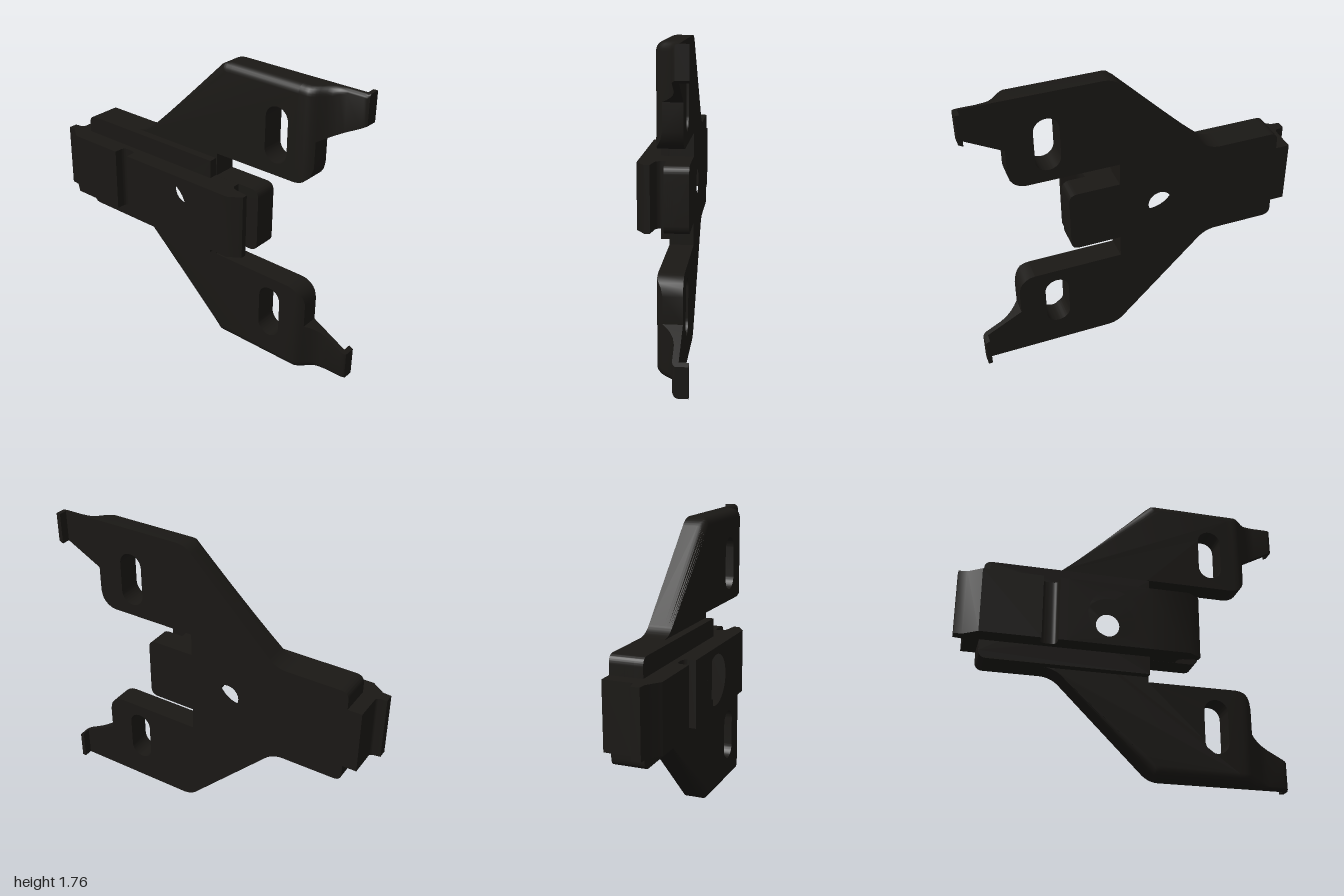
import * as THREE from 'three';
import { toCreasedNormals } from 'three/addons/utils/BufferGeometryUtils.js';

const MID = 0.88; // height of the symmetry plane
const EDGE = 0.05; // rounding of the outer arm edges
const material = new THREE.MeshStandardMaterial({ color: 0x1a1815 });

function addPart(group, name, geometry) {
  const mesh = new THREE.Mesh(toCreasedNormals(geometry, 0.6), material);
  mesh.name = name;
  group.add(mesh);
}

// Closed outline from [u, v, radius] corners
function outline(points) {
  const shape = new THREE.Shape();
  const n = points.length;
  points.forEach(([u, v, r = 0], i) => {
    const p = new THREE.Vector2(u, v);
    const toward = (q) => new THREE.Vector2(q[0], q[1]).sub(p).setLength(r).add(p);
    const a = r ? toward(points[(i + n - 1) % n]) : p;
    if (i === 0) shape.moveTo(a.x, a.y);
    else shape.lineTo(a.x, a.y);
    if (r) {
      const b = toward(points[(i + 1) % n]);
      shape.quadraticCurveTo(u, v, b.x, b.y);
    }
  });
  shape.closePath();
  return shape;
}

// Mirror half an outline of [z, height from middle, radius] about the middle
function mirrored(half) {
  const top = half.map(([z, h, r]) => [-z, MID + h, r]);
  const low = half.map(([z, h, r]) => [-z, MID - h, r]).reverse();
  return outline([...top, ...low]);
}

function circleHole(shape, z, radius) {
  shape.holes.push(new THREE.Path().absarc(-z, MID, radius, 0, Math.PI * 2, true));
}

// Extrude a side outline across the thickness, from x0 to x1
function across(shape, x0, x1, steps = 1) {
  const g = new THREE.ExtrudeGeometry(shape, { depth: x1 - x0, steps, bevelEnabled: false, curveSegments: 16 });
  return g.rotateY(Math.PI / 2).translate(x0, 0, 0);
}

// Extrude an [x, z, radius] profile vertically through the centre block
function upward(points) {
  const shape = outline(points.map(([x, z, r]) => [x, -z, r]));
  const g = new THREE.ExtrudeGeometry(shape, { depth: 0.385, bevelEnabled: false, curveSegments: 8 });
  return g.rotateX(-Math.PI / 2).translate(0, MID - 0.1925, 0);
}

// Plate with both arms, tongue, slots and screw hole
function plateGeometry() {
  const shape = mirrored([
    [0.43, 0.193, 0.05], [0.13, 0.193], [0.13, 0.33], [0.66, 0.33], [0.66, 0.88],
    [0.16, 0.88, 0.06], [-0.42, 0.3, 0.07], [-0.855, 0.3, 0.05],
  ]);
  circleHole(shape, -0.115, 0.07);
  for (const side of [-1, 1]) {
    const y = MID + side * 0.563;
    const slot = new THREE.Path();
    slot.absarc(-0.533, y + 0.09, 0.072, 0, Math.PI, false);
    slot.absarc(-0.533, y - 0.09, 0.072, Math.PI, Math.PI * 2, false);
    slot.closePath();
    shape.holes.push(slot);
  }
  const steps = 7;
  const g = across(shape, 0, 1, steps);
  const p = g.attributes.position;
  for (let i = 0; i < p.count; i++) {
    // Crowd the layers into the rounded edge, then pull the outer edges in
    const layer = Math.round(p.getX(i) * steps);
    const t = Math.min(layer / (steps - 1), 1) * Math.PI / 2;
    const x = layer === steps ? 0.12 : -0.02 + EDGE * (1 - Math.cos(t));
    const inset = layer === steps ? 0 : EDGE * (1 - Math.sin(t));
    const z = p.getZ(i);
    const h = p.getY(i) - MID;
    let reach = Math.abs(h);
    if (z > -0.37 && reach > 0.31) reach = Math.min(reach, 0.88 - inset, z + 0.72 - inset * Math.SQRT2);
    p.setXYZ(i, x, MID + Math.sign(h) * reach, z);
  }
  return g;
}

// Thinning arm end with its hooked lip, lofted along z
function tipGeometry(side) {
  const lowArc = (z) => 0.43 - Math.sqrt(Math.max(0, 0.01 - (z - 0.66) ** 2));
  const lowSlope = (z) => 0.58 + (z - 0.76) * 0.54;
  // [z, inner x, outer x]
  const stations = [
    [0.66, -0.02, 0.12], [0.69, -0.02, 0.12], [0.715, -0.02, 0.12], [0.735, -0.01, 0.12],
    [0.75, 0.003, 0.12], [0.76, 0.013, 0.12], [0.76, 0.013, 0.12], [0.785, 0.04, 0.12],
    [0.81, 0.06, 0.12], [0.84, 0.076, 0.12], [0.88, 0.086, 0.12], [0.975, 0.086, 0.12],
    [0.975, 0.086, 0.172], [0.99, 0.091, 0.172], [1.0, 0.102, 0.172],
  ];
  const rings = stations.map(([z, x0, x1], i) => {
    const low = i < 6 ? lowArc(z) : lowSlope(z);
    const r = Math.min(EDGE, (0.12 - x0) * 0.8);
    const ring = [[x1, low], [x1, 0.88]];
    for (let k = 0; k <= 6; k++) {
      const a = (k / 6) * Math.PI / 2;
      ring.push([x0 + r - r * Math.sin(a), 0.88 - r + r * Math.cos(a)]);
    }
    ring.push([x0, low]);
    return ring.map(([x, h]) => [x, MID + side * h, z]);
  });
  const n = rings[0].length;
  const positions = rings.flat(2);
  const index = [];
  const tri = (a, b, c) => (side > 0 ? index.push(a, b, c) : index.push(a, c, b));
  for (let i = 0; i < rings.length - 1; i++) {
    for (let k = 0; k < n; k++) {
      const a = i * n + k;
      const b = i * n + (k + 1) % n;
      tri(a, b, b + n);
      tri(a, b + n, a + n);
    }
  }
  const last = (rings.length - 1) * n;
  for (let k = 1; k < n - 1; k++) {
    tri(0, k + 1, k);
    tri(last, last + k, last + k + 1);
  }
  const g = new THREE.BufferGeometry();
  g.setAttribute('position', new THREE.Float32BufferAttribute(positions, 3));
  g.setIndex(index);
  return g;
}

export function createModel() {
  const group = new THREE.Group();
  group.name = 'mountingPlate';

  addPart(group, 'plate', plateGeometry());
  addPart(group, 'upperArmTip', tipGeometry(1));
  addPart(group, 'lowerArmTip', tipGeometry(-1));

  // Raised band behind the centre block
  const band = mirrored([[0.125, 0.3], [-0.855, 0.3, 0.05]]);
  circleHole(band, -0.115, 0.15);
  addPart(group, 'band', across(band, -0.07, -0.02));

  // Centre block: bored middle, beaked front and notched rear
  const bored = mirrored([[0.1, 0.1925], [-0.38, 0.1925]]);
  circleHole(bored, -0.115, 0.15);
  addPart(group, 'blockMiddle', across(bored, -0.18, -0.02));
  addPart(group, 'blockFront', upward([
    [-0.18, 0.1], [-0.18, 0.335], [-0.13, 0.41], [-0.097, 0.41],
    [-0.08, 0.29, 0.035], [-0.02, 0.29], [-0.02, 0.1],
  ]));
  addPart(group, 'blockRear', upward([
    [-0.18, -0.38], [-0.02, -0.38], [-0.02, -0.84], [0.12, -0.84], [0.12, -0.94],
    [-0.055, -0.94, 0.02], [-0.065, -1], [-0.118, -1], [-0.122, -0.95], [-0.18, -0.87],
    [-0.18, -0.525], [-0.107, -0.525, 0.035], [-0.107, -0.43, 0.035], [-0.18, -0.43],
  ]));
  return group;
}
